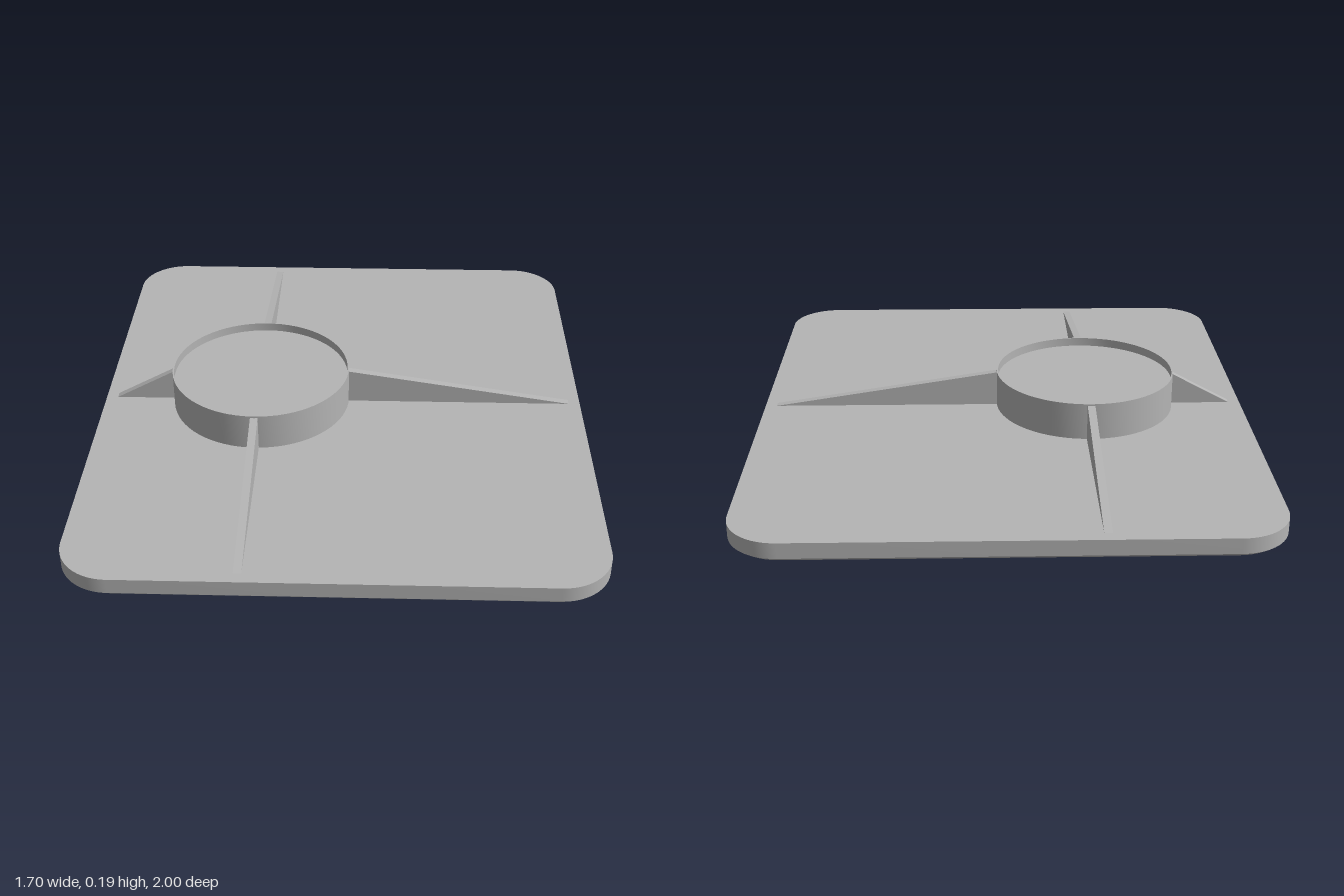
import * as THREE from 'three';
import { toCreasedNormals } from 'three/addons/utils/BufferGeometryUtils.js';

const W = 0.85, D = 1, R = 0.17;   // plate half width, half depth, corner radius
const PLATE_TOP = 0.062, RIM_TOP = 0.19, HUB_X = -0.29, HUB_R = 0.313;

// Rounded rectangular plate with a small chamfer round its underside
function plateGeometry() {
  const s = new THREE.Shape();
  s.moveTo(-W + R, -D);
  s.absarc(W - R, -D + R, R, -Math.PI / 2, 0);
  s.absarc(W - R, D - R, R, 0, Math.PI / 2);
  s.absarc(-W + R, D - R, R, Math.PI / 2, Math.PI);
  s.absarc(-W + R, -D + R, R, Math.PI, Math.PI * 1.5);
  const g = new THREE.ExtrudeGeometry(s, { depth: PLATE_TOP, steps: 2, bevelEnabled: false, curveSegments: 14 });
  g.rotateX(-Math.PI / 2);
  const p = g.attributes.position, inset = 0.01;
  for (let i = 0; i < p.count; i++) {
    const y = p.getY(i);
    if (y < 0.001) {
      p.setX(i, p.getX(i) * (W - inset) / W);
      p.setZ(i, p.getZ(i) * (D - inset) / D);
    } else if (y < PLATE_TOP - 0.001) {
      p.setY(i, 0.01);
    }
  }
  return toCreasedNormals(g, 0.5);
}

// Round hub with a thin rim and a shallow recess
function hubGeometry() {
  const inner = HUB_R - 0.005, floor = RIM_TOP - 0.03;
  const profile = [[HUB_R, PLATE_TOP - 0.005], [HUB_R, RIM_TOP], [inner, RIM_TOP], [inner, floor], [0, floor]];
  const g = new THREE.LatheGeometry(profile.map(([x, y]) => new THREE.Vector2(x, y)), 72);
  return toCreasedNormals(g, 0.5);
}

// Triangular rib running outward along +x from the hub centre
function ribGeometry(end, height) {
  const start = HUB_R - 0.003, base = PLATE_TOP - 0.004;
  const s = new THREE.Shape();
  s.moveTo(start, base);
  s.lineTo(end, base);
  s.lineTo(end, PLATE_TOP);
  s.lineTo(start, height);
  s.closePath();
  const g = new THREE.ExtrudeGeometry(s, { depth: 0.026, bevelEnabled: false });
  return g.translate(0, 0, -0.013);
}

export function createModel() {
  const model = new THREE.Group();
  model.name = 'ribbedBasePlate';
  const grey = new THREE.MeshStandardMaterial({ color: 0xb4b4b4 });
  grey.name = 'grey';

  const add = (name, geometry, x = 0, turn = 0) => {
    const mesh = new THREE.Mesh(geometry, grey);
    mesh.name = name;
    mesh.position.x = x;
    mesh.rotation.y = turn;
    model.add(mesh);
  };

  add('plate', plateGeometry());
  add('hub', hubGeometry(), HUB_X);

  // Four ribs: name, reach from hub centre, height at hub, turn
  const ribs = [
    ['leftRib', 1.1, 0.185, 0],
    ['backRib', 0.96, 0.184, Math.PI / 2],
    ['rightRib', 0.52, 0.175, Math.PI],
    ['frontRib', 0.96, 0.184, -Math.PI / 2],
  ];
  for (const [name, end, height, turn] of ribs) add(name, ribGeometry(end, height), HUB_X, turn);
  return model;
}
